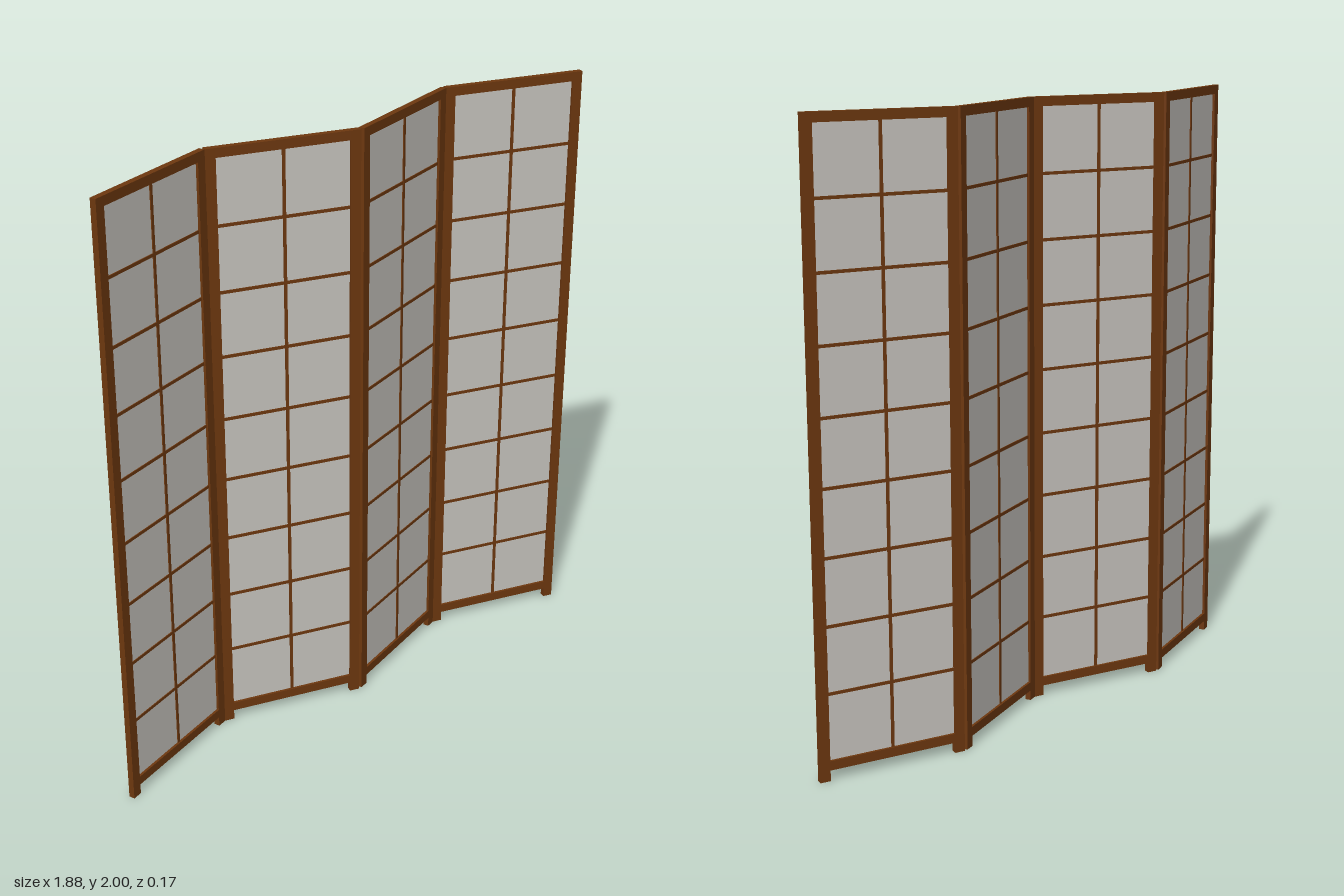
import * as THREE from 'three';

const wood = new THREE.MeshStandardMaterial({ name: 'brown wood', color: 0x6e380f });
const paper = new THREE.MeshStandardMaterial({ name: 'grey paper', color: 0xc9c6c0 });

const HEIGHT = 2, WIDTH = 0.487, DEPTH = 0.02;   // one panel
const STILE = 0.033, RAIL = 0.03, BAR = 0.01;    // member widths
const BOTTOM = 0.064, TOP = HEIGHT - RAIL;       // paper opening
const ROWS = 9, FOLD = THREE.MathUtils.degToRad(17.5), PITCH = 0.47;

function addBox(group, name, material, w, h, d, x, y) {
  const mesh = new THREE.Mesh(new THREE.BoxGeometry(w, h, d), material);
  mesh.name = name;
  mesh.position.set(x, y, 0);
  group.add(mesh);
}

function createPanel() {
  const panel = new THREE.Group();
  const innerW = WIDTH - 2 * STILE, innerH = TOP - BOTTOM, midY = (TOP + BOTTOM) / 2;

  // Frame: full-height stiles form the feet, rails sit between them
  for (const side of [-1, 1])
    addBox(panel, side < 0 ? 'rightStile' : 'leftStile', wood, STILE, HEIGHT, DEPTH, side * (WIDTH - STILE) / 2, HEIGHT / 2);
  addBox(panel, 'topRail', wood, innerW, RAIL, DEPTH, 0, HEIGHT - RAIL / 2);
  addBox(panel, 'bottomRail', wood, innerW, RAIL, DEPTH, 0, BOTTOM - RAIL / 2);

  // Paper sheet with lattice showing on both faces
  addBox(panel, 'paperSheet', paper, innerW, innerH, 0.003, 0, midY);
  addBox(panel, 'verticalBar', wood, BAR, innerH, 0.01, 0, midY);
  for (let i = 1; i < ROWS; i++)
    addBox(panel, 'crossBar' + i, wood, innerW, BAR, 0.009, 0, BOTTOM + (innerH * i) / ROWS);
  return panel;
}

export function createModel() {
  const screen = new THREE.Group();
  screen.name = 'foldingScreen';
  // Four panels folded alternately in a zigzag
  for (let i = 0; i < 4; i++) {
    const panel = createPanel();
    panel.name = 'panel' + (i + 1);
    panel.position.x = (i - 1.5) * PITCH;
    panel.rotation.y = i % 2 ? -FOLD : FOLD;
    screen.add(panel);
  }
  return screen;
}
